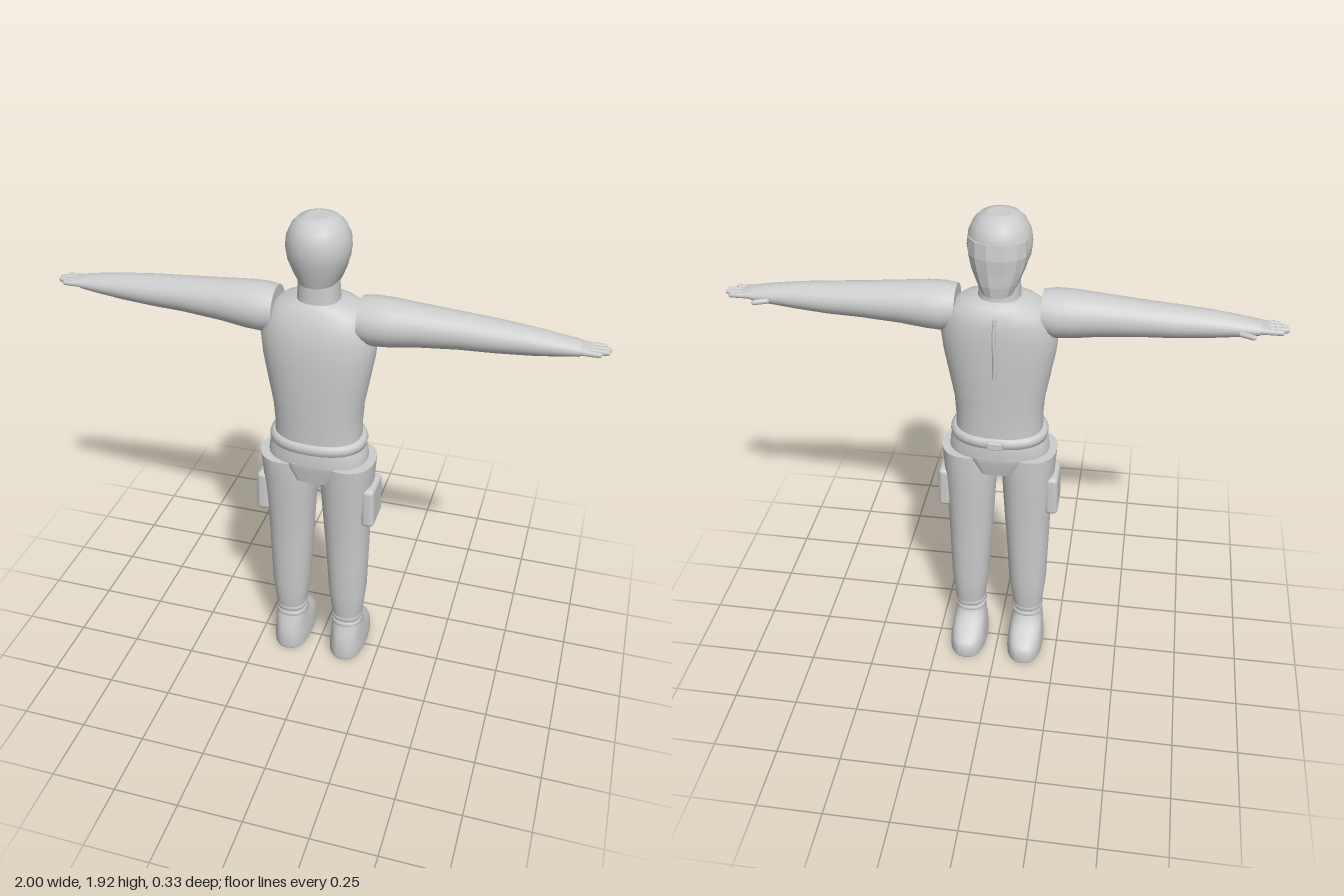
import * as THREE from 'three';
import { RoundedBoxGeometry } from 'three/addons/geometries/RoundedBoxGeometry.js';

// Skin of rounded cross-sections. Each row: [t, aMin, aMax, bMin, bMax].
// Axis 'y': t = y, a = x, b = z.  Axis 'x': t = x, a = y, b = z.
function loft(rows, { n = 24, power = 2.3, axis = 'y' } = {}) {
  const pos = [], idx = [];
  const add = (t, a, b) => (axis === 'y' ? pos.push(a, t, b) : pos.push(t, a, b));
  const tri = (a, b, c) => (axis === 'y' ? idx.push(a, b, c) : idx.push(a, c, b));
  const round = (v) => Math.sign(v) * Math.abs(v) ** (2 / power);
  const ring = ([t, a0, a1, b0, b1]) => {
    for (let j = 0; j < n; j++) {
      const q = (j / n) * Math.PI * 2;
      add(t, (a0 + a1) / 2 + ((a1 - a0) / 2) * round(Math.cos(q)),
        (b0 + b1) / 2 + ((b1 - b0) / 2) * round(Math.sin(q)));
    }
  };
  rows.forEach(ring);
  for (let i = 0; i < rows.length - 1; i++) {
    for (let j = 0; j < n; j++) {
      const k = (j + 1) % n, p = i * n, q = p + n;
      tri(p + j, q + j, p + k);
      tri(q + j, q + k, p + k);
    }
  }
  // flat end caps with their own corners
  [rows[0], rows[rows.length - 1]].forEach((r, end) => {
    const s = pos.length / 3;
    ring(r);
    add(r[0], (r[1] + r[2]) / 2, (r[3] + r[4]) / 2);
    for (let j = 0; j < n; j++) {
      const k = (j + 1) % n;
      if (end) tri(s + n, s + k, s + j);
      else tri(s + n, s + j, s + k);
    }
  });
  const g = new THREE.BufferGeometry();
  g.setAttribute('position', new THREE.Float32BufferAttribute(pos, 3));
  g.setIndex(idx);
  g.computeVertexNormals();
  return g;
}

// Reflects a geometry across x = 0, keeping faces outward
function mirrored(source) {
  const g = source.index ? source.toNonIndexed() : source.clone();
  for (const name of ['position', 'normal']) {
    const at = g.getAttribute(name);
    for (let i = 0; i < at.count; i++) at.setX(i, -at.getX(i));
    for (let i = 0; i < at.count; i += 3) {
      const b = [at.getX(i + 1), at.getY(i + 1), at.getZ(i + 1)];
      at.setXYZ(i + 1, at.getX(i + 2), at.getY(i + 2), at.getZ(i + 2));
      at.setXYZ(i + 2, ...b);
    }
  }
  return g;
}

export function createModel() {
  const model = new THREE.Group();
  model.name = 'figure';
  const grey = new THREE.MeshStandardMaterial({ color: 0xcccccc });
  grey.name = 'plain grey';

  const part = (name, geometry) => {
    const mesh = new THREE.Mesh(geometry, grey);
    mesh.name = name;
    model.add(mesh);
  };
  const pair = (name, geometry) => {
    part('left ' + name, geometry);
    part('right ' + name, mirrored(geometry));
  };

  // Head: smooth hood, faceted face toward -z, neck
  part('hood', loft([
    [1.685, -0.07, 0.07, -0.06, 0.12], [1.72, -0.087, 0.087, -0.072, 0.132],
    [1.77, -0.107, 0.107, -0.08, 0.147], [1.81, -0.113, 0.113, -0.084, 0.153],
    [1.85, -0.108, 0.108, -0.08, 0.151], [1.885, -0.092, 0.092, -0.066, 0.138],
    [1.907, -0.07, 0.07, -0.04, 0.113], [1.917, -0.042, 0.042, -0.008, 0.08],
  ], { power: 2.1 }));
  const face = loft([
    [1.65, -0.055, 0.055, -0.08, 0.05], [1.69, -0.075, 0.075, -0.086, 0.08],
    [1.74, -0.096, 0.096, -0.087, 0.1], [1.79, -0.108, 0.108, -0.09, 0.12],
    [1.845, -0.106, 0.106, -0.084, 0.12],
  ], { n: 14 }).toNonIndexed();
  face.computeVertexNormals();
  part('face', face);
  part('neck', loft([
    [1.57, -0.08, 0.08, -0.05, 0.108], [1.64, -0.074, 0.074, -0.04, 0.105],
    [1.72, -0.07, 0.07, -0.04, 0.105],
  ]));

  // Torso with a raised strip on the chest
  part('torso', loft([
    [1.04, -0.165, 0.165, -0.085, 0.152], [1.12, -0.163, 0.163, -0.085, 0.155],
    [1.2, -0.168, 0.168, -0.088, 0.16], [1.3, -0.186, 0.186, -0.094, 0.165],
    [1.4, -0.204, 0.204, -0.098, 0.166], [1.48, -0.212, 0.212, -0.1, 0.163],
    [1.54, -0.2, 0.2, -0.098, 0.15], [1.58, -0.172, 0.172, -0.09, 0.132],
    [1.605, -0.135, 0.135, -0.072, 0.118], [1.618, -0.08, 0.08, -0.048, 0.105],
  ], { n: 32 }));
  const strip = new THREE.CatmullRomCurve3([
    new THREE.Vector3(0, 1.575, -0.09), new THREE.Vector3(0.003, 1.5, -0.099),
    new THREE.Vector3(0, 1.42, -0.098), new THREE.Vector3(0.002, 1.34, -0.095),
  ]);
  part('chest strip', new THREE.TubeGeometry(strip, 12, 0.008, 8));

  // Belt, buckle and pelvis
  part('belt', loft([
    [1.032, -0.17, 0.17, -0.085, 0.155], [1.037, -0.181, 0.181, -0.095, 0.164],
    [1.055, -0.185, 0.185, -0.099, 0.167], [1.07, -0.181, 0.181, -0.095, 0.164],
    [1.076, -0.17, 0.17, -0.085, 0.155],
  ], { n: 32 }));
  const buckle = new RoundedBoxGeometry(0.06, 0.032, 0.02, 2, 0.006);
  part('buckle', buckle.translate(0, 1.055, -0.098));
  part('hips', loft([
    [0.978, -0.19, 0.19, -0.088, 0.16], [1.01, -0.187, 0.187, -0.09, 0.161],
    [1.04, -0.175, 0.175, -0.088, 0.158],
  ], { n: 32 }));
  part('pelvis', loft([
    [0.9, -0.072, 0.072, -0.07, 0.145], [0.965, -0.105, 0.105, -0.088, 0.159],
    [0.985, -0.108, 0.108, -0.088, 0.16],
  ], { power: 5 }));

  // Trouser legs, pockets, ankle cuffs and boots
  pair('leg', loft([
    [0.18, 0.062, 0.178, -0.036, 0.088], [0.24, 0.055, 0.184, -0.046, 0.098],
    [0.34, 0.042, 0.194, -0.056, 0.108], [0.5, 0.033, 0.198, -0.058, 0.113],
    [0.65, 0.023, 0.202, -0.064, 0.123], [0.8, 0.014, 0.209, -0.074, 0.138],
    [0.9, 0.01, 0.215, -0.079, 0.15], [0.975, 0.012, 0.22, -0.08, 0.155],
  ]));
  const pocket = new RoundedBoxGeometry(0.05, 0.17, 0.143, 3, 0.018);
  pair('pocket', pocket.rotateZ(0.02).translate(0.208, 0.79, 0.035));
  for (const y of [0.168, 0.2]) {
    pair('ankle cuff', loft([
      [y - 0.012, 0.06, 0.178, -0.036, 0.089], [y - 0.006, 0.056, 0.182, -0.041, 0.094],
      [y + 0.006, 0.056, 0.182, -0.041, 0.094], [y + 0.012, 0.06, 0.178, -0.036, 0.089],
    ]));
  }
  pair('boot', loft([
    [0, 0.05, 0.19, -0.155, 0.117], [0.012, 0.045, 0.194, -0.164, 0.122],
    [0.055, 0.047, 0.193, -0.163, 0.121], [0.078, 0.05, 0.19, -0.15, 0.118],
    [0.1, 0.053, 0.188, -0.115, 0.113], [0.12, 0.056, 0.185, -0.075, 0.107],
    [0.14, 0.059, 0.182, -0.045, 0.1], [0.18, 0.063, 0.177, -0.036, 0.088],
  ], { power: 2.5 }));

  // Arms held straight out
  pair('arm', loft([
    [0.152, 1.475, 1.636, -0.05, 0.115], [0.2, 1.466, 1.642, -0.058, 0.125],
    [0.26, 1.47, 1.641, -0.056, 0.123], [0.35, 1.482, 1.634, -0.048, 0.112],
    [0.5, 1.494, 1.622, -0.04, 0.099], [0.62, 1.499, 1.613, -0.036, 0.094],
    [0.74, 1.508, 1.602, -0.025, 0.086], [0.84, 1.52, 1.588, -0.017, 0.078],
    [0.9, 1.53, 1.577, -0.013, 0.073],
  ], { axis: 'x', power: 2 }));

  // Hands: palm, four fingers, thumb
  pair('palm', loft([
    [0.87, 1.535, 1.573, -0.01, 0.07], [0.91, 1.54, 1.57, -0.012, 0.073],
    [0.935, 1.545, 1.565, -0.01, 0.071],
  ], { axis: 'x', n: 16, power: 3 }));
  [0.982, 1, 0.996, 0.972].forEach((tip, i) => {
    const r = 0.0105, root = 0.9;
    const finger = new THREE.CapsuleGeometry(r, tip - root - 2 * r, 3, 8);
    finger.rotateZ(Math.PI / 2).translate((tip + root) / 2, 1.554, -0.001 + i * 0.0212);
    pair('finger', finger);
  });
  const thumb = new THREE.CapsuleGeometry(0.01, 0.045, 3, 8);
  pair('thumb', thumb.rotateZ(-Math.PI / 2).rotateY(0.4).translate(0.856, 1.547, -0.026));

  return model;
}
